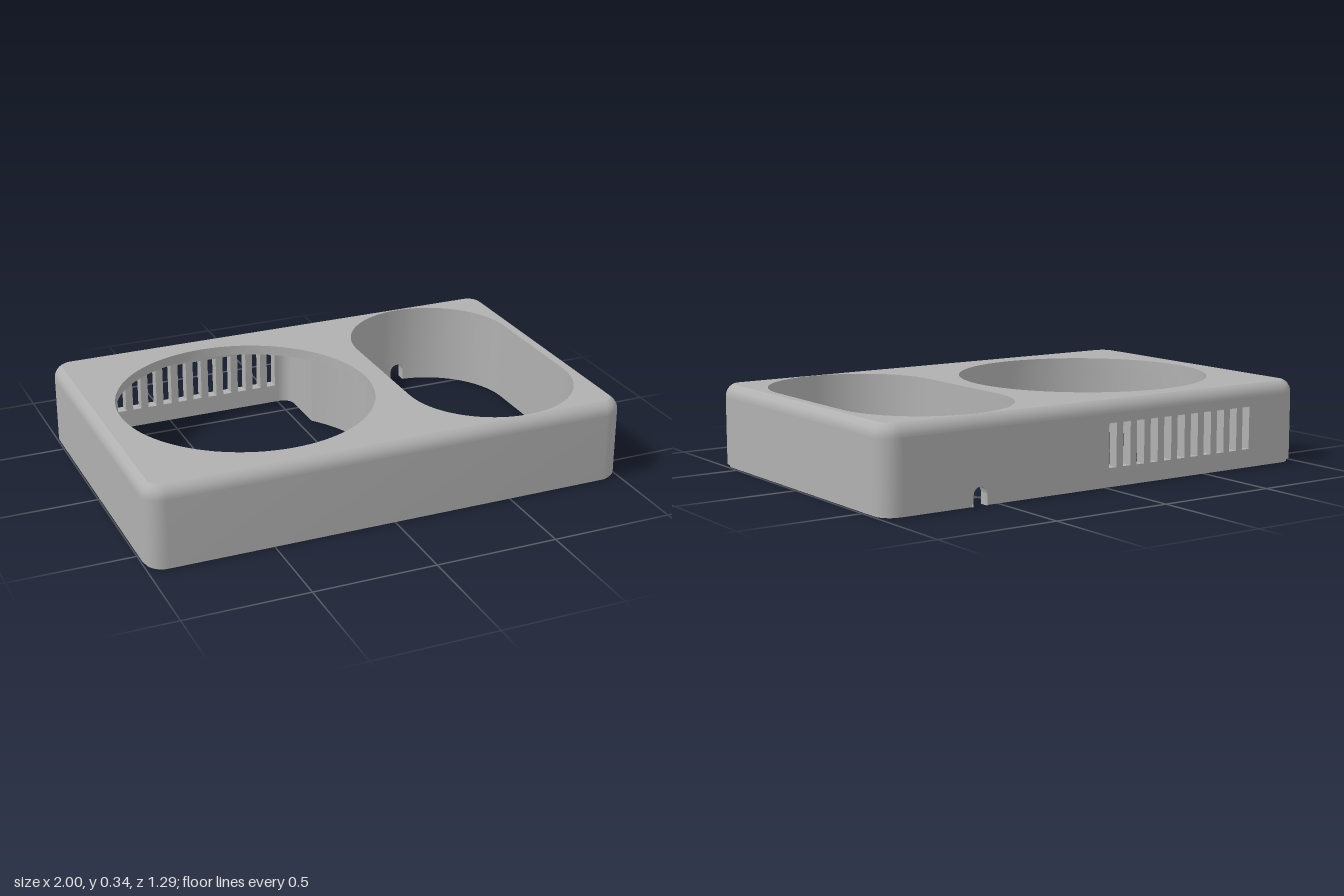
import * as THREE from 'three';
import { mergeGeometries, toCreasedNormals } from 'three/addons/utils/BufferGeometryUtils.js';

const PI = Math.PI;
const TOP = 0.34, LEDGE = 0.30, LIP = 0.012, SHOULDER = 0.29;
const BACK = -0.645, RECESS = -0.6, ARCH = 0.08;
const CIRCLE = { x: -0.37, r: 0.52, bore: 0.555 };
const SLOT = { x: 0.585, r: 0.35, h: 0.255 };
const NOTCH = 0.03;

// Arc in plan as [x, z]; angle 0 is the back, growing towards -x
function arc(cx, cz, r, a0, a1, n) {
  return Array.from({ length: n + 1 }, (_, i) => {
    const a = a0 + (a1 - a0) * i / n;
    return [cx - r * Math.sin(a), cz - r * Math.cos(a)];
  });
}

// Rounded rectangle that starts and ends at the cable notch in the back
function outline(inset) {
  const r = 0.08 - inset, z = BACK + inset;
  return [
    [SLOT.x - NOTCH, z],
    ...arc(-0.92, -0.565, r, 0, PI / 2, 8), ...arc(-0.92, 0.565, r, PI / 2, PI, 8),
    ...arc(0.92, 0.565, r, PI, PI * 1.5, 8), ...arc(0.92, -0.565, r, PI * 1.5, PI * 2, 8),
    [SLOT.x + NOTCH, z],
  ];
}

const level = (pts, y) => pts.map(([x, z]) => new THREE.Vector3(x, y, z));
const depth = (pts, z) => pts.map(([x, y]) => new THREE.Vector3(x, y, z));

// Skin through matching sections
function loft(sections, closed) {
  const n = sections[0].length, index = [];
  for (let s = 0; s < sections.length - 1; s++) {
    for (let i = 0; i < (closed ? n : n - 1); i++) {
      const a = s * n + i, b = s * n + (i + 1) % n;
      index.push(a, b, b + n, a, b + n, a + n);
    }
  }
  const g = new THREE.BufferGeometry().setFromPoints(sections.flat());
  g.setIndex(index);
  return toCreasedNormals(g, 0.6);
}

// Flat face with holes
function face(pts, holes = []) {
  const v = (list) => list.map(([x, y]) => new THREE.Vector2(x, y));
  const shape = new THREE.Shape(v(pts));
  holes.forEach((h) => shape.holes.push(new THREE.Path(v(h))));
  const g = new THREE.ShapeGeometry(shape).toNonIndexed();
  g.deleteAttribute('uv');
  return g;
}
const faceDown = (pts, holes, y) => face(pts, holes).rotateX(PI / 2).translate(0, y, 0);

const rect = (x0, x1, y0, y1) => [[x0, y0], [x1, y0], [x1, y1], [x0, y1]];

export function createModel() {
  const group = new THREE.Group();
  const grey = new THREE.MeshStandardMaterial({ color: 0xb0b0b0, side: THREE.DoubleSide });
  grey.name = 'grey plastic';
  const add = (name, ...geos) => {
    const mesh = new THREE.Mesh(mergeGeometries(geos), grey);
    mesh.name = name;
    group.add(mesh);
  };

  // Plan contours
  const a0 = Math.asin(NOTCH / SLOT.r);
  const stadium = [
    ...arc(SLOT.x, -SLOT.h, SLOT.r, a0, PI / 2, 20),
    ...arc(SLOT.x, SLOT.h, SLOT.r, PI / 2, PI * 1.5, 40),
    ...arc(SLOT.x, -SLOT.h, SLOT.r, PI * 1.5, PI * 2 - a0, 20),
  ];
  const circle = arc(CIRCLE.x, 0, CIRCLE.r, 0, PI * 2, 96).slice(0, -1);
  const b = Math.asin(0.43 / CIRCLE.bore);
  const bore = [
    ...arc(-0.75, RECESS + 0.05, 0.05, 0, PI / 2, 6),
    ...arc(CIRCLE.x, 0, CIRCLE.bore, b, PI * 2 - b, 72),
    ...arc(0.01, RECESS + 0.05, 0.05, PI * 1.5, PI * 2, 6),
  ];
  const screws = [-0.48, 0.48].map((z) => arc(0.125, z, 0.028, 0, PI * 2, 20).slice(0, -1));

  // Vent slots and arched cable notch, in the plane of the back wall
  const vents = Array.from({ length: 11 }, (_, i) => {
    const x = CIRCLE.x + (i - 5) * 0.0683;
    return rect(x - 0.0185, x + 0.0185, 0.078, 0.252);
  });
  const archTop = Array.from({ length: 13 }, (_, i) => {
    const a = PI * i / 12;
    return [SLOT.x + NOTCH * Math.cos(a), 0.045 + NOTCH * Math.sin(a)];
  });
  const notch = (y) => [[SLOT.x + NOTCH, y], ...archTop, [SLOT.x - NOTCH, y]];

  // Outer shell: stepped foot, straight sides, rounded shoulder
  const rim = outline(0);
  const foot = outline(0.01);
  const shoulder = Array.from({ length: 8 }, (_, i) => {
    const t = THREE.MathUtils.degToRad(65) * i / 7;
    const y = SHOULDER + (TOP - SHOULDER) * Math.sin(t) / Math.sin(THREE.MathUtils.degToRad(65));
    return level(outline(0.055 * (1 - Math.cos(t))), y);
  });
  add('foot', loft([level(foot, 0), level(foot, LIP), level(rim, LIP)], false));
  const sides = rim.slice(1, -1);
  add('sideWalls', loft([level(sides, LIP), level(sides, SHOULDER)], false));
  add('roundedShoulder', loft(shoulder, true));

  // Back wall with vents and cable notch
  const backOutline = [[-0.92, LIP], ...notch(LIP).reverse(), [0.92, LIP], [0.92, SHOULDER], [-0.92, SHOULDER]];
  const mirror = (pts) => pts.map(([x, y]) => [-x, y]);
  add('backWall', face(mirror(backOutline), vents.map(mirror)).rotateY(PI).translate(0, 0, BACK));
  add('ventSlots', ...vents.map((v) => loft([depth(v, RECESS), depth(v, BACK)], true)));
  const inner = -SLOT.h - SLOT.r * Math.cos(a0);
  add('cableNotch',
    loft([depth(notch(0), inner), depth(notch(0), BACK)], false),
    face([...archTop, [SLOT.x - NOTCH, ARCH], [SLOT.x + NOTCH, ARCH]]).translate(0, 0, inner));

  // Top plate with both openings
  add('topPlate', face(outline(0.055 * (1 - Math.cos(THREE.MathUtils.degToRad(65)))), [circle, stadium])
    .rotateX(-PI / 2).translate(0, TOP, 0));

  // Round opening: top lip, ledge, wider bore and recess behind the vents
  add('roundOpeningLip', loft([level(circle, TOP), level(circle, LEDGE)], true));
  add('roundOpeningLedge', faceDown(bore, [circle], LEDGE));
  add('roundBore', loft([level(bore, LEDGE), level(bore, 0)], false));
  add('ventRecessWall', face(rect(-0.75, 0.01, 0, LEDGE), vents).translate(0, 0, RECESS));

  // Long opening
  add('longOpeningWall',
    loft([level(stadium, TOP), level(stadium, ARCH)], true),
    loft([level(stadium, ARCH), level(stadium, 0)], false));

  // Underside: its contour runs through the notch into the long opening
  add('underside', faceDown([...foot, ...stadium.slice().reverse()], [bore, ...screws], 0));
  add('screwHoles', ...screws.flatMap((s) => [
    loft([level(s, 0.1), level(s, 0)], true), faceDown(s, [], 0.1),
  ]));

  return group;
}
